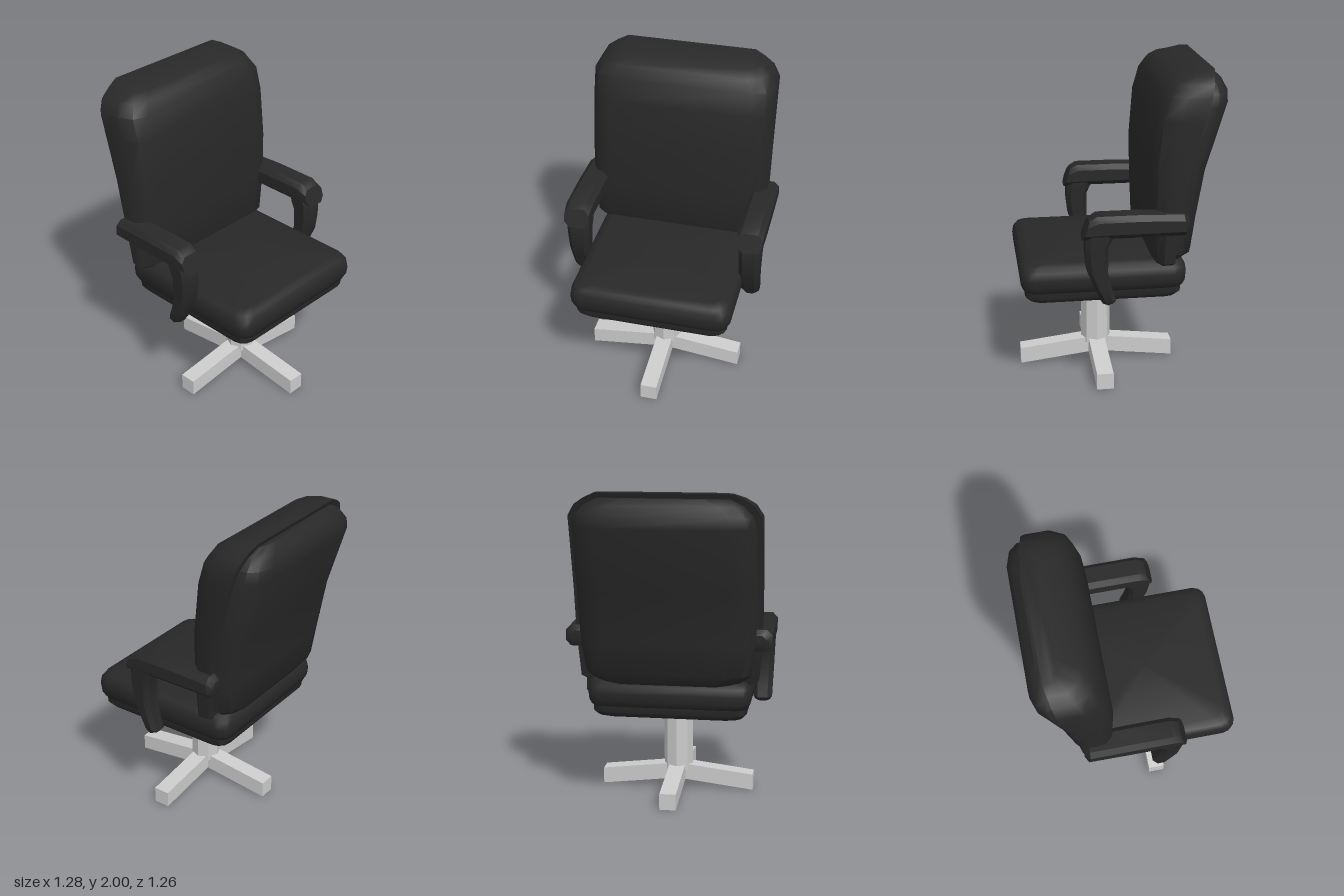
import * as THREE from 'three';
import { toCreasedNormals } from 'three/addons/utils/BufferGeometryUtils.js';

const leather = new THREE.MeshStandardMaterial({ color: 0x282828 });
const metal = new THREE.MeshStandardMaterial({ color: 0xcccccc, flatShading: true });
const CZ = 0.12; // centre of seat and base in z

// Skin a list of rings ([x, y, z] points, counter-clockwise seen from the last ring) and cap both ends
function loft(name, rings, crease = 0.75) {
  const n = rings[0].length, pos = rings.flat(2), index = [];
  for (let i = 0; i < rings.length - 1; i++) {
    for (let j = 0; j < n; j++) {
      const a = i * n + j, b = i * n + (j + 1) % n;
      index.push(a, b, b + n, a, b + n, a + n);
    }
  }
  [0, rings.length - 1].forEach((r, end) => {
    const c = pos.length / 3;
    for (let k = 0; k < 3; k++) pos.push(rings[r].reduce((s, p) => s + p[k], 0) / n);
    for (let j = 0; j < n; j++) {
      const a = r * n + j, b = r * n + (j + 1) % n;
      index.push(c, ...(end ? [a, b] : [b, a]));
    }
  });
  const geo = new THREE.BufferGeometry();
  geo.setAttribute('position', new THREE.Float32BufferAttribute(pos, 3));
  geo.setIndex(index);
  const mesh = new THREE.Mesh(toCreasedNormals(geo, crease), leather);
  mesh.name = name;
  return mesh;
}

// Rectangle with rounded corners as [u, v] pairs, counter-clockwise
function roundedRect(hu, hv, r, steps) {
  const pts = [];
  for (let q = 0; q < 4; q++) {
    const su = q === 0 || q === 3 ? 1 : -1, sv = q < 2 ? 1 : -1;
    for (let i = 0; i <= steps; i++) {
      const a = (q + i / steps) * Math.PI / 2;
      pts.push([su * (hu - r) + r * Math.cos(a), sv * (hv - r) + r * Math.sin(a)]);
    }
  }
  return pts;
}

// Square cushion from [height, half width] levels
function seatPart(name, levels) {
  return loft(name, levels.map(([y, h]) =>
    roundedRect(h, h, 0.08, 3).map(([u, v]) => [u, y, CZ - v])));
}

// Backrest half from [y, half width, z front, z back] levels, rounded towards front or back
function backPart(name, levels, roundFront) {
  return loft(name, levels.map(([y, w, zf, zb]) => {
    const t = zf - zb;
    const half = roundFront
      ? [[w - 0.13, zf], [w - 0.045, zf - 0.12 * t], [w, zf - 0.45 * t], [w, zb]]
      : [[w, zf], [w, zb + 0.5 * t], [w - 0.045, zb + 0.18 * t], [w - 0.14, zb]];
    const left = half.map(([x, z]) => [x, y, z]);
    return [...left, ...left.map(([x, , z]) => [-x, y, z]).reverse()];
  }));
}

function arm(side) {
  const group = new THREE.Group();
  group.name = side > 0 ? 'leftArm' : 'rightArm';
  const cx = side * 0.555;
  // Pad: [z top, z bottom, y top, y bottom, half width], back to front
  const pad = [
    [-0.375, -0.375, 1.14, 1.07, 0.055],
    [-0.34, -0.355, 1.17, 1.04, 0.083],
    [-0.1, -0.1, 1.18, 1.04, 0.085],
    [0.18, 0.14, 1.18, 1.04, 0.085],
    [0.228, 0.27, 1.15, 1.035, 0.08],
  ].map(([zt, zb, yt, yb, hw]) => {
    const hy = (yt - yb) / 2;
    return roundedRect(hw, hy, 0.032, 1).map(([u, v]) => [
      cx + u, (yt + yb) / 2 + v, THREE.MathUtils.lerp(zb, zt, (v / hy + 1) / 2)]);
  });
  group.add(loft('armPad', pad, 0.6));
  // Support: [y rear, y front, z rear, z front, half width], bottom to top
  const post = [
    [0.61, 0.615, 0.085, 0.145, 0.045],
    [0.635, 0.65, 0.065, 0.165, 0.06],
    [0.71, 0.73, 0.09, 0.2, 0.062],
    [0.82, 0.83, 0.115, 0.24, 0.065],
    [0.98, 0.94, 0.112, 0.252, 0.069],
    [1.03, 1.03, 0.09, 0.25, 0.073],
    [1.09, 1.09, 0.08, 0.225, 0.073],
  ].map(([yr, yf, zr, zf, hw]) => {
    const hz = (zf - zr) / 2;
    return roundedRect(hw, hz, 0.028, 1).map(([u, v]) => [
      cx + u, THREE.MathUtils.lerp(yf, yr, (v / hz + 1) / 2), (zf + zr) / 2 - v]);
  });
  group.add(loft('armSupport', post, 0.6));
  return group;
}

export function createModel() {
  const chair = new THREE.Group();
  chair.name = 'officeChair';

  // Four sloping feet around the column
  const base = new THREE.Group();
  base.name = 'base';
  base.position.z = CZ;
  const footGeo = new THREE.BoxGeometry(0.5, 0.105, 0.105).translate(0.25, 0.0525, 0);
  const p = footGeo.attributes.position;
  for (let i = 0; i < p.count; i++) p.setY(i, p.getY(i) + 0.06 * (1 - p.getX(i) / 0.5));
  footGeo.computeVertexNormals();
  for (let i = 0; i < 4; i++) {
    const foot = new THREE.Mesh(footGeo, metal);
    foot.name = 'foot';
    foot.rotation.y = i * Math.PI / 2;
    base.add(foot);
  }
  const column = new THREE.Mesh(new THREE.CylinderGeometry(0.095, 0.095, 0.475, 8), metal);
  column.name = 'column';
  column.position.y = 0.3625;
  base.add(column);
  chair.add(base);

  // Seat
  chair.add(seatPart('seatPan', [[0.58, 0.43], [0.592, 0.46], [0.62, 0.483], [0.67, 0.485]]));
  chair.add(seatPart('seatCushion', [
    [0.645, 0.465], [0.665, 0.493], [0.7, 0.508], [0.75, 0.512],
    [0.795, 0.505], [0.825, 0.485], [0.84, 0.44]]));

  // Backrest
  chair.add(backPart('backCushion', [
    [0.81, 0.5, -0.19, -0.29], [0.84, 0.555, -0.18, -0.3], [1.1, 0.575, -0.172, -0.325],
    [1.4, 0.577, -0.165, -0.375], [1.72, 0.577, -0.19, -0.46], [1.86, 0.577, -0.23, -0.5],
    [1.93, 0.535, -0.27, -0.52], [1.97, 0.475, -0.325, -0.532], [2, 0.41, -0.45, -0.545]], true));
  chair.add(backPart('backShell', [
    [0.81, 0.42, -0.26, -0.38], [0.88, 0.51, -0.27, -0.43], [1.08, 0.54, -0.29, -0.45],
    [1.4, 0.545, -0.35, -0.505], [1.8, 0.545, -0.45, -0.63], [1.87, 0.525, -0.47, -0.63],
    [1.93, 0.47, -0.48, -0.605], [1.97, 0.39, -0.5, -0.565]], false));

  chair.add(arm(1), arm(-1));
  return chair;
}
